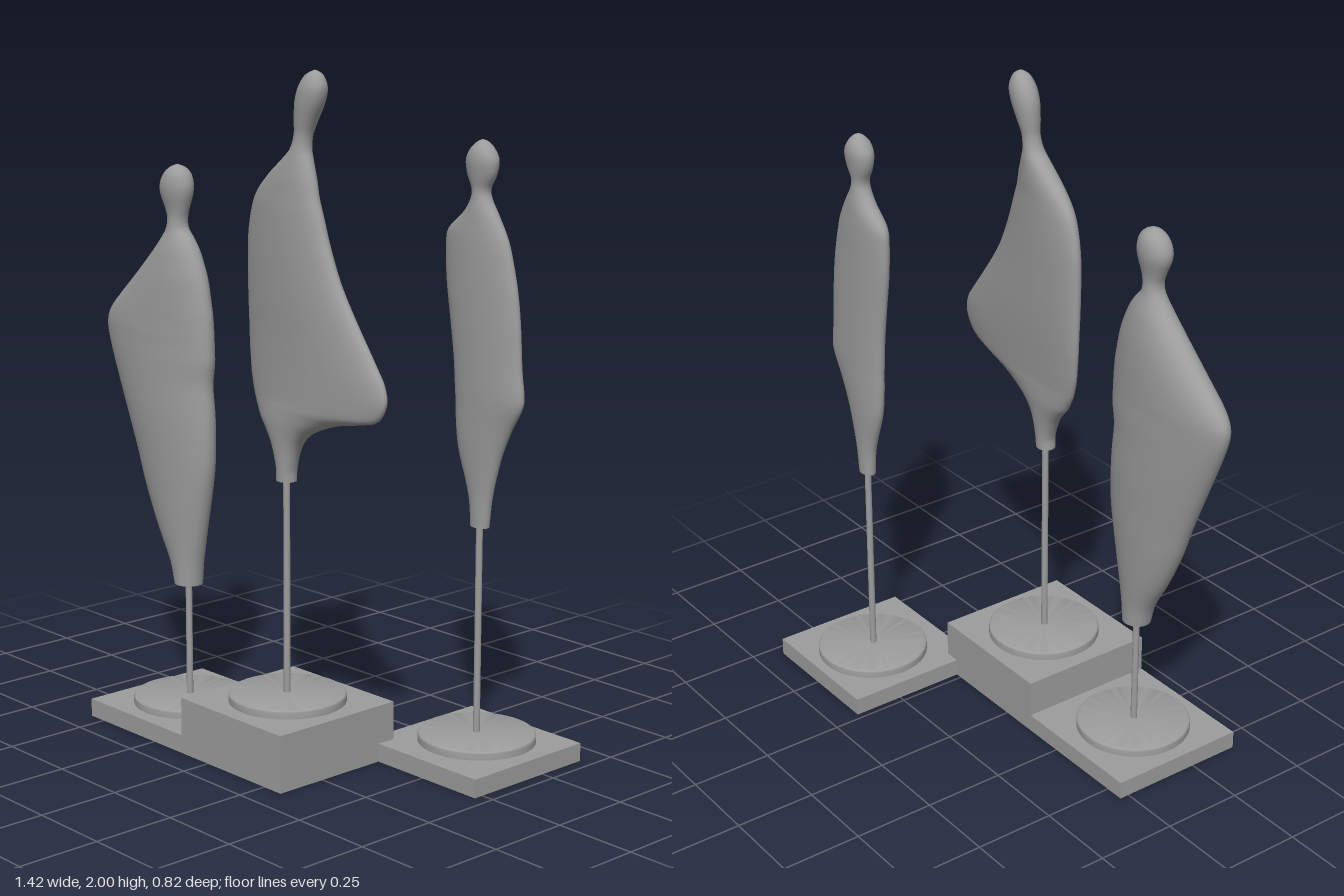
import * as THREE from 'three';
import { toCreasedNormals } from 'three/addons/utils/BufferGeometryUtils.js';

const grey = new THREE.MeshStandardMaterial({ color: 0x9c9c9c });
const greyOpen = new THREE.MeshStandardMaterial({ color: 0x9c9c9c, side: THREE.DoubleSide });

function add(group, name, geometry, x, y, z, material = grey) {
  const mesh = new THREE.Mesh(geometry, material);
  mesh.name = name;
  mesh.position.set(x, y, z);
  group.add(mesh);
}

// Smooth body lofted through rows of [y, left edge, right edge, half depth]
function bodyGeometry(rows, zAt) {
  const curve = (k) => new THREE.CatmullRomCurve3(
    rows.map((r) => new THREE.Vector3(r[k], r[0], r[3])), false, 'catmullrom', 0.5);
  const a = curve(1), b = curve(2);
  const rings = (rows.length - 1) * 4, seg = 40;
  const pos = [], index = [];
  for (let i = 0; i <= rings; i++) {
    const p = a.getPoint(i / rings), q = b.getPoint(i / rings);
    const cx = (p.x + q.x) / 2, w = (q.x - p.x) / 2;
    for (let j = 0; j < seg; j++) {
      const t = (j / seg) * Math.PI * 2, s = Math.sin(t);
      const x = cx + w * Math.cos(t);
      pos.push(x, p.y, zAt(x, p.y) + p.z * Math.sign(s) * Math.abs(s) ** 0.95);
      if (i === rings) continue;
      const k = i * seg + j, n = i * seg + (j + 1) % seg;
      index.push(k, k + seg, n, n, k + seg, n + seg);
    }
  }
  // Flat underside with its own vertices
  const base = pos.length / 3;
  pos.push(...pos.slice(0, seg * 3));
  for (let j = 1; j < seg - 1; j++) index.push(base, base + j, base + j + 1);
  const g = new THREE.BufferGeometry();
  g.setAttribute('position', new THREE.Float32BufferAttribute(pos, 3));
  g.setIndex(index);
  g.computeVertexNormals();
  return g;
}

// Hollow plinth without a bottom face
function plinthGeometry(h) {
  const g = new THREE.BoxGeometry(0.44, h, 0.44).translate(0, h / 2, 0);
  const idx = Array.from(g.index.array);
  idx.splice(18, 6);
  g.setIndex(idx);
  g.clearGroups();
  return g;
}

// Round disc with a softly rounded upper edge
function discGeometry() {
  const radius = 0.173, height = 0.026, round = 0.007;
  const profile = [new THREE.Vector2(radius, 0)];
  for (let i = 0; i <= 4; i++) {
    const t = (i / 4) * Math.PI / 2;
    profile.push(new THREE.Vector2(radius - round + round * Math.cos(t), height - round + round * Math.sin(t)));
  }
  profile.push(new THREE.Vector2(0, height));
  return toCreasedNormals(new THREE.LatheGeometry(profile, 64), 0.6);
}

const leftRows = [
  [0.43, -0.389, -0.30, 0.042], [0.5, -0.41, -0.292, 0.046], [0.6, -0.468, -0.272, 0.055],
  [0.72, -0.526, -0.246, 0.062], [0.82, -0.563, -0.23, 0.066], [0.95, -0.617, -0.228, 0.07],
  [1.05, -0.66, -0.236, 0.07], [1.12, -0.689, -0.226, 0.07], [1.165, -0.704, -0.226, 0.069],
  [1.2, -0.707, -0.227, 0.069], [1.23, -0.696, -0.229, 0.068], [1.26, -0.671, -0.232, 0.067],
  [1.3, -0.627, -0.24, 0.065], [1.37, -0.548, -0.257, 0.06],
  [1.44, -0.474, -0.288, 0.05], [1.48, -0.437, -0.315, 0.04], [1.51, -0.415, -0.341, 0.032],
  [1.54, -0.41, -0.344, 0.029], [1.57, -0.42, -0.336, 0.032], [1.61, -0.437, -0.323, 0.041],
  [1.64, -0.438, -0.32, 0.043], [1.67, -0.423, -0.328, 0.037], [1.69, -0.40, -0.347, 0.022],
  [1.70, -0.376, -0.376, 0],
];
const centreRows = [
  [0.83, 0.066, 0.132, 0.03], [0.87, 0.066, 0.135, 0.032], [0.93, 0.04, 0.156, 0.036],
  [0.97, 0.008, 0.193, 0.039], [1.0, -0.022, 0.25, 0.041], [1.03, -0.042, 0.34, 0.042],
  [1.05, -0.054, 0.44, 0.043], [1.07, -0.064, 0.51, 0.043], [1.12, -0.08, 0.542, 0.044],
  [1.17, -0.088, 0.53, 0.045], [1.22, -0.094, 0.49, 0.046], [1.32, -0.099, 0.405, 0.047],
  [1.42, -0.1, 0.33, 0.047], [1.52, -0.096, 0.278, 0.047], [1.6, -0.077, 0.246, 0.046],
  [1.65, -0.05, 0.225, 0.044], [1.7, 0.003, 0.209, 0.042], [1.75, 0.071, 0.188, 0.036],
  [1.78, 0.106, 0.177, 0.031], [1.82, 0.12, 0.18, 0.028], [1.86, 0.12, 0.198, 0.034],
  [1.91, 0.122, 0.225, 0.04], [1.95, 0.135, 0.235, 0.039], [1.98, 0.156, 0.225, 0.028],
  [1.993, 0.176, 0.212, 0.015], [2.0, 0.195, 0.195, 0],
];
const rightRows = [
  [0.7, 0.458, 0.521, 0.022], [0.77, 0.452, 0.529, 0.024], [0.83, 0.436, 0.542, 0.027],
  [0.92, 0.405, 0.569, 0.032], [1.0, 0.394, 0.606, 0.035], [1.06, 0.391, 0.641, 0.037],
  [1.1, 0.388, 0.648, 0.038], [1.18, 0.382, 0.638, 0.038], [1.3, 0.365, 0.63, 0.038],
  [1.4, 0.35, 0.616, 0.038], [1.5, 0.346, 0.59, 0.038], [1.55, 0.357, 0.569, 0.037],
  [1.6, 0.415, 0.537, 0.034], [1.64, 0.444, 0.51, 0.029], [1.67, 0.447, 0.505, 0.027],
  [1.71, 0.43, 0.526, 0.034], [1.75, 0.426, 0.532, 0.038], [1.78, 0.442, 0.516, 0.032],
  [1.8, 0.463, 0.497, 0.015], [1.807, 0.479, 0.479, 0],
];

// The centre wing sweeps forward, the foot sits forward and the head leans back
function centreZ(x, y) {
  const foot = THREE.MathUtils.smoothstep(1.3 - y, 0, 0.47);
  const head = THREE.MathUtils.smoothstep(y, 1.6, 2);
  return 0.163 + 0.1 * x + 0.017 * foot - 0.016 * head;
}

const statues = [
  { name: 'left', x: -0.34, z: 0.19, h: 0.055, rod: -0.344, rows: leftRows, zAt: () => 0.195 },
  { name: 'centre', x: 0.1, z: 0.19, h: 0.17, rod: 0.1, rows: centreRows, zAt: centreZ },
  { name: 'right', x: 0.49, z: -0.19, h: 0.055, rod: 0.488, rows: rightRows, zAt: () => -0.204 },
];

export function createModel() {
  const model = new THREE.Group();
  model.name = 'statueGroup';
  const disc = discGeometry();
  for (const s of statues) {
    const g = new THREE.Group();
    g.name = s.name + 'Statue';
    const rodZ = s.zAt(s.rod, s.rows[0][0]);
    const len = s.rows[0][0] + 0.02 - s.h;
    add(g, 'plinth', plinthGeometry(s.h), s.x, 0, s.z, greyOpen);
    add(g, 'disc', disc, s.rod, s.h, rodZ - 0.002);
    add(g, 'rod', new THREE.CylinderGeometry(0.01, 0.01, len, 20), s.rod, s.h + len / 2, rodZ);
    add(g, 'body', bodyGeometry(s.rows, s.zAt), 0, 0, 0);
    model.add(g);
  }
  return model;
}
